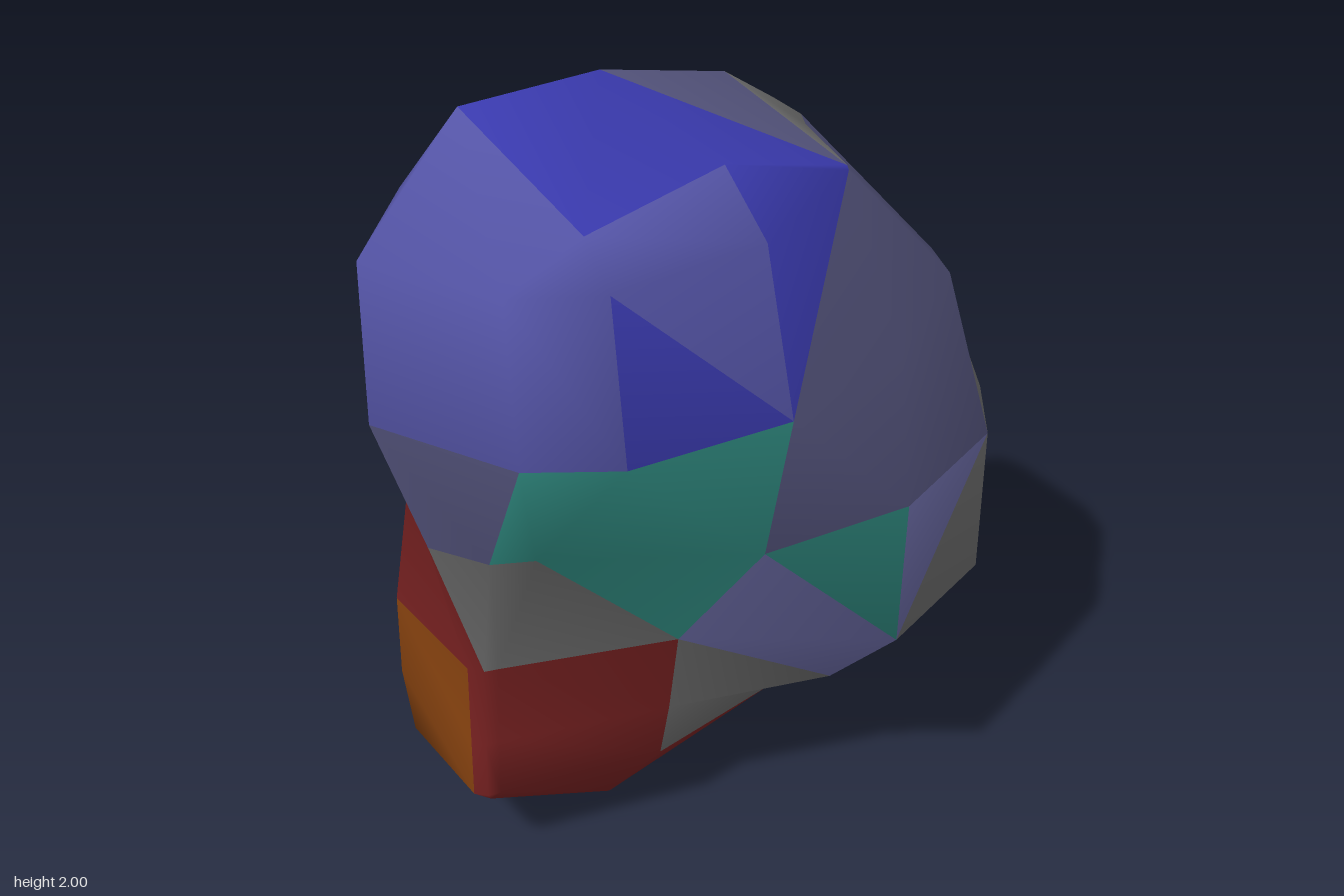
import * as THREE from 'three';
import { mergeVertices } from 'three/addons/utils/BufferGeometryUtils.js';

// Patch names and colours, keyed by the letters in the band strings
const patches = {
  G: ['body', 0x6c6c6c],
  B: ['upperLobe', 0x5555a8],
  V: ['upperLobeInner', 0x3a3aae],
  S: ['slatePatch', 0x55557e],
  L: ['lavenderPatch', 0x6a6aa4],
  T: ['tealPatch', 0x2f8a80],
  R: ['lowerPatch', 0x7a2222],
  O: ['orangePatch', 0x8a4410],
  Y: ['olivePatch', 0x55551f],
};

// Patches of each band, left edge round the front to the back: the upper and
// lower triangle of every quad, and the columns whose diagonal runs the other way
const bands = [
  ['BBBVGGGGGGSBB', 'BBBVGGGGGGVBB', [10]],
  ['BBBVSSSGGSSBB', 'BBVSSSGGGSSTB', [3, 6]],
  ['STTSSSGGGGSTS', 'STTSSGGGGGSTS', [5]],
  ['GGTTLGGGGGGGG', 'RGGLGGGGGGGGR', [4]],
  ['RRRLGGGGLGGYO', 'RRRGGGGGGGGYO', []],
  ['RRRGGGGGGGGYO', 'RRRGGGGGGGGYO', []],
  ['RRRRGGGGGGYOO', 'RRRGGGGGGGGOO', [3]],
];
// Patches of the fans that close the ends
const topFan = 'VVVVVSVVVVV';
const bottomFan = 'OOOORGGGGGG';
const COLS = topFan.length + 2;
const MID = 0.05; // depth of the left and right edges

// Level cross-section from its side extents and its depth at four stations in x
function level(y, left, right, front, back) {
  const stations = [-0.58, -0.2, 0.17, Math.min(0.54, right * 0.84)];
  const line = (depths) => depths.map((z, i) => [stations[i], y, z]);
  // Rounded corner between a side edge and the nearest station
  const corner = (x, [sx, , sz]) => [x + 0.4 * (sx - x), y, MID + 0.71 * (sz - MID)];
  const f = line(front), b = line(back);
  return [
    [left, y, MID], corner(left, f[0]), ...f, corner(right, f[3]),
    [right, y, MID], corner(right, b[3]), ...b.reverse(),
  ];
}

// Cap ring: every column is drawn in to one of a few corners
const cap = (columns, corners) => [...columns].map((i) => corners[i]);

const createRings = () => [
  cap('0112344444450', [
    [-0.58, 2, MID], [-0.58, 1.85, 0.425], [-0.2, 1.88, 0.425],
    [0.17, 1.76, 0.425], [0.17, 1.86, MID], [-0.2, 1.97, MID],
  ]),
  level(1.75, -0.85, 0.33, [0.5, 0.55, 0.43, 0.2], [-0.16, -0.18, -0.07, 0]),
  level(1.37, -0.85, 0.645, [0.545, 0.64, 0.61, 0.43], [-0.21, -0.29, -0.27, -0.07]),
  level(1.0, -0.72, 0.8, [0.25, 0.57, 0.66, 0.58], [-0.2, -0.35, -0.55, -0.4]),
  level(0.62, -0.63, 0.85, [0.1, 0.3, 0.65, 0.58], [-0.28, -0.55, -0.66, -0.54]),
  level(0.4, -0.63, 0.68, [0.09, 0.27, 0.45, 0.42], [-0.28, -0.53, -0.58, -0.34]),
  level(0.245, -0.63, 0.54, [0.09, 0.24, 0.24, 0.13], [-0.24, -0.51, -0.42, -0.18]),
  cap('0001222223340', [
    [-0.58, 0.2, MID], [-0.2, 0, MID], [0.17, 0.085, MID],
    [0.17, 0.17, -0.325], [-0.2, 0.02, -0.325],
  ]),
];

export function createModel() {
  const group = new THREE.Group();
  group.name = 'patchedBoulder';
  const rings = createRings();
  const index = [];
  const letters = [];
  const tri = (letter, a, b, c) => { index.push(a, b, c); letters.push(letter); };

  // Side walls
  bands.forEach(([upper, lower, turned], r) => {
    for (let c = 0; c < COLS; c++) {
      const a = r * COLS + c, b = r * COLS + (c + 1) % COLS;
      const d = a + COLS, e = b + COLS;
      if (turned.includes(c)) {
        tri(upper[c], a, d, b);
        tri(lower[c], d, e, b);
      } else {
        tri(upper[c], a, e, b);
        tri(lower[c], a, d, e);
      }
    }
  });

  // Top and bottom closed as fans from the ridge at the back
  const hub = 11;
  const last = bands.length * COLS;
  for (let k = 1; k < COLS - 1; k++) {
    const c = (hub + k) % COLS, n = (c + 1) % COLS;
    tri(topFan[k - 1], hub, c, n);
    tri(bottomFan[k - 1], last + hub, last + n, last + c);
  }

  // Weld shared corners so the shading runs smoothly across the patches
  let shell = new THREE.BufferGeometry();
  shell.setAttribute('position', new THREE.Float32BufferAttribute(rings.flat(2), 3));
  shell.setIndex(index);
  shell = mergeVertices(shell);
  shell.computeVertexNormals();
  const welded = shell.index.array;

  // One mesh per colour, skipping collapsed triangles
  for (const [letter, [name, color]] of Object.entries(patches)) {
    const faces = [];
    letters.forEach((l, t) => {
      const [a, b, c] = welded.slice(3 * t, 3 * t + 3);
      if (l === letter && a !== b && b !== c && c !== a) faces.push(a, b, c);
    });
    const geometry = new THREE.BufferGeometry();
    geometry.setAttribute('position', shell.attributes.position);
    geometry.setAttribute('normal', shell.attributes.normal);
    geometry.setIndex(faces);
    const mesh = new THREE.Mesh(geometry, new THREE.MeshStandardMaterial({ color }));
    mesh.name = name;
    group.add(mesh);
  }
  return group;
}
